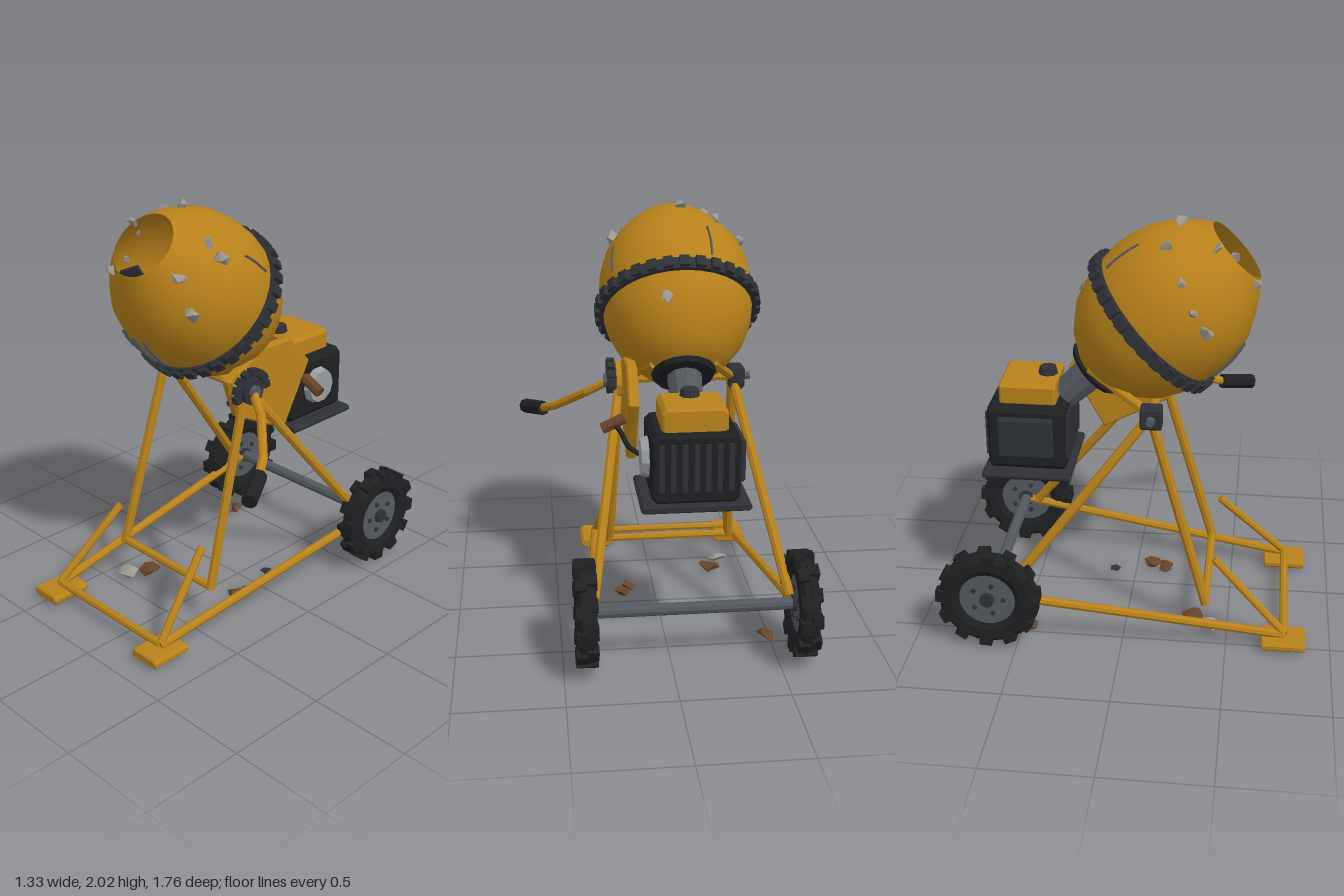
import * as THREE from 'three';
import { ConvexGeometry } from 'three/addons/geometries/ConvexGeometry.js';

const V = (x, y, z) => new THREE.Vector3(x, y, z);
const mat = (color, flatShading = true, side = THREE.FrontSide) => {
  const m = new THREE.MeshStandardMaterial({ color, flatShading, side });
  return m;
};
const CX = -0.11; // the frame mirrors about this x

export function createModel() {
  const model = new THREE.Group();
  model.name = 'cementMixer';
  const yellow = mat(0xb8821a), drumPaint = mat(0xb8821a, false, THREE.DoubleSide);
  const dark = mat(0x2e3136), black = mat(0x1f2022), steel = mat(0x54585f);
  const pale = mat(0x9a9da2), brown = mat(0x664428), concrete = mat(0x9b978f);

  let seed = 7;
  const rnd = () => (seed = (seed * 16807) % 2147483647) / 2147483647;

  const add = (name, geo, m, pos = V(0, 0, 0), parent = model) => {
    const mesh = new THREE.Mesh(geo, m);
    mesh.name = name;
    mesh.position.copy(pos);
    parent.add(mesh);
    return mesh;
  };
  // straight round bar between two points
  const bar = (name, a, b, r, m = yellow, sides = 8, parent = model, r2 = r) => {
    const d = b.clone().sub(a);
    const mesh = add(name, new THREE.CylinderGeometry(r2, r, d.length(), sides), m, a.clone().lerp(b, 0.5), parent);
    mesh.quaternion.setFromUnitVectors(V(0, 1, 0), d.normalize());
    return mesh;
  };
  // box with chamfered edges
  const chamferBox = (w, h, d, c) => {
    const x = w / 2 - c, y = h / 2 - c, k = c * 0.6;
    const s = new THREE.Shape([
      [-x, -y - k], [x, -y - k], [x + k, -y], [x + k, y], [x, y + k], [-x, y + k], [-x - k, y], [-x - k, -y],
    ].map((p) => new THREE.Vector2(...p)));
    const bevel = c - k;
    const g = new THREE.ExtrudeGeometry(s, { depth: d - 2 * bevel, bevelSize: bevel, bevelThickness: bevel, bevelSegments: 1 });
    return g.translate(0, 0, -d / 2 + bevel);
  };
  // irregular stone
  const chunk = (name, pos, sx, sy, sz, m, parent = model) => {
    const pts = [];
    for (let i = 0; i < 10; i++) {
      const a = (i * 2.4) + rnd(), y = rnd() * 2 - 1, r = Math.sqrt(1 - y * y);
      pts.push(V(Math.cos(a) * r * sx, y * sy, Math.sin(a) * r * sz));
    }
    return add(name, new ConvexGeometry(pts), m, pos, parent);
  };

  // ---- frame, mirrored to both sides ----
  for (const s of [-1, 1]) {
    const P = (dx, y, z) => V(CX + s * dx, y, z);
    bar('frameRail', P(0.38, 0.07, 0.78), P(0.475, 0.265, -0.63), 0.022);
    bar('frontLeg', P(0.28, 1.14, 0.12), P(0.32, 0.18, 0.395), 0.024);
    bar('rearLeg', P(0.285, 1.14, 0.11), P(0.46, 0.27, -0.56), 0.024);
    bar('frontBrace', P(0.38, 0.08, 0.775), P(0.3, 0.42, 0.43), 0.02);
    add('foot', chamferBox(0.17, 0.048, 0.21, 0.018), yellow, P(0.375, 0.041, 0.775));
  }
  bar('frontCrossbar', V(-0.49, 0.075, 0.775), V(0.27, 0.075, 0.775), 0.02);
  bar('legCrossbar', V(-0.43, 0.19, 0.392), V(0.21, 0.19, 0.392), 0.02);
  bar('axle', V(-0.62, 0.265, -0.63), V(0.4, 0.265, -0.63), 0.029, steel, 10);

  // ---- wheels ----
  for (const s of [-1, 1]) {
    const wheel = new THREE.Group();
    wheel.name = s > 0 ? 'leftWheel' : 'rightWheel';
    wheel.position.set(CX + s * 0.503, 0.265, -0.63);
    wheel.rotation.z = -s * Math.PI / 2; // local +y faces outwards
    model.add(wheel);
    const tyre = [[0.135, -0.03], [0.165, -0.046], [0.21, -0.045], [0.234, -0.025], [0.234, 0.025],
      [0.21, 0.045], [0.165, 0.046], [0.135, 0.03], [0.135, -0.03]].map((p) => new THREE.Vector2(...p));
    add('tyre', new THREE.LatheGeometry(tyre, 24), black, V(0, 0, 0), wheel);
    add('rim', new THREE.CylinderGeometry(0.138, 0.138, 0.05, 16), steel, V(0, 0, 0), wheel);
    add('hub', new THREE.CylinderGeometry(0.036, 0.042, 0.09, 8), dark, V(0, 0, 0), wheel);
    for (let i = 0; i < 5; i++) {
      const a = i * Math.PI * 0.4 + 0.3;
      add('wheelBolt', new THREE.CylinderGeometry(0.013, 0.013, 0.068, 6), dark, V(Math.cos(a) * 0.078, 0, Math.sin(a) * 0.078), wheel);
    }
    for (let i = 0; i < 12; i++) for (const side of [-1, 1]) {
      const a = (i + side * 0.12) * Math.PI / 6;
      const lug = add('treadLug', new THREE.BoxGeometry(0.05, 0.05, 0.06), black, V(Math.cos(a) * 0.222, side * 0.025, Math.sin(a) * 0.222), wheel);
      lug.rotation.y = -a;
    }
  }

  // ---- drum, local +y runs along its axis to the mouth ----
  const drum = new THREE.Group();
  drum.name = 'drum';
  drum.position.set(-0.113, 1.51, 0.1);
  drum.rotation.x = 0.818;
  model.add(drum);
  const profile = [[0.001, -0.37], [0.12, -0.365], [0.22, -0.3], [0.305, -0.2], [0.348, -0.1], [0.368, 0], [0.376, 0.1],
    [0.367, 0.2], [0.338, 0.3], [0.285, 0.385], [0.225, 0.46], [0.162, 0.52]].map((p) => new THREE.Vector2(...p));
  add('drumShell', new THREE.LatheGeometry(profile, 32), drumPaint, V(0, 0, 0), drum);
  const radiusAt = (t) => {
    const i = Math.max(1, profile.findIndex((p) => p.y >= t));
    const a = profile[i - 1], b = profile[i];
    return a.x + (b.x - a.x) * (t - a.y) / (b.y - a.y);
  };
  const onDrum = (t, deg, lift = 0) => {
    const a = deg * Math.PI / 180, r = radiusAt(t) + lift;
    return V(r * Math.cos(a), t, -r * Math.sin(a));
  };

  // ring gear
  const band = [[0.355, -0.03], [0.384, -0.03], [0.384, 0.03], [0.355, 0.03], [0.355, -0.03]].map((p) => new THREE.Vector2(...p));
  add('ringGear', new THREE.LatheGeometry(band, 32), dark, V(0, 0, 0), drum);
  for (let i = 0; i < 32; i++) {
    const a = i * Math.PI / 16;
    add('gearTooth', new THREE.BoxGeometry(0.035, 0.054, 0.046), dark, V(Math.cos(a) * 0.386, 0, Math.sin(a) * 0.386), drum).rotation.y = -a;
  }
  // mixing blades inside
  for (let i = 0; i < 3; i++) {
    const a = i * Math.PI * 2 / 3 + 0.5;
    const blade = add('mixingBlade', new THREE.BoxGeometry(0.1, 0.42, 0.02), dark, V(Math.cos(a) * 0.25, 0.1, Math.sin(a) * 0.25), drum);
    blade.rotation.set(0.4, -a, 0, 'YXZ');
  }
  // collar and gearbox shaft behind the drum
  add('collar', new THREE.CylinderGeometry(0.155, 0.14, 0.022, 16), black, V(0, -0.375, 0), drum);
  add('gearboxShaft', new THREE.CylinderGeometry(0.085, 0.075, 0.2, 10), steel, V(0, -0.47, 0), drum);

  // dried concrete: lumps, drips and streaks
  for (const [t, a] of [[0.31, 160], [0.34, 127], [0.42, 95], [0.35, 20], [0.32, -32], [0.45, -17], [0.5, -126],
    [0.26, 182], [0.25, -160], [0.5, 150], [0.41, 30], [-0.15, 75]]) {
    const k = 0.026 + rnd() * 0.014;
    chunk('concreteLump', onDrum(t, a, 0.008), k, k * 1.2, k, concrete, drum).rotation.y = rnd() * 6;
  }
  for (const [a, t0, t1] of [[-108, 0.06, 0.27], [-95, 0.06, 0.26], [-84, 0.07, 0.26], [112, 0.06, 0.24], [32, 0.08, 0.24]]) {
    const pts = [0, 0.33, 0.67, 1].map((k) => onDrum(t0 + (t1 - t0) * k, a, 0.003));
    add('concreteDrip', new THREE.TubeGeometry(new THREE.CatmullRomCurve3(pts), 6, a < 0 ? 0.011 : 0.006, 5), steel, V(0, 0, 0), drum);
  }

  // ---- tilting yoke and pivots ----
  bar('tiltShaft', V(-0.42, 1.155, 0.125), V(0.24, 1.155, 0.125), 0.022);
  for (const s of [-1, 1]) bar('yokeArm', V(CX + s * 0.27, 1.165, 0.1), V(CX + s * 0.14, 1.31, -0.18), 0.022);
  add('pivotBlock', chamferBox(0.08, 0.11, 0.1, 0.015), dark, V(-0.41, 1.155, 0.125));
  bar('pivotStub', V(-0.48, 1.155, 0.125), V(-0.4, 1.155, 0.125), 0.02, steel);
  const plate = new THREE.Shape([[0.215, 1.2], [0.15, 1.01], [-0.16, 0.85], [-0.33, 1.155], [-0.2, 1.3], [-0.01, 1.305]]
    .map(([z, y]) => new THREE.Vector2(-z, y)));
  const sidePlate = add('sidePlate', new THREE.ExtrudeGeometry(plate, { depth: 0.035, bevelSize: 0.008, bevelThickness: 0.008, bevelSegments: 1 }), yellow, V(0.12, 0, 0));
  sidePlate.rotation.y = Math.PI / 2;

  // tilt lock: hub with a toothed sector
  bar('tiltHub', V(0.16, 1.15, 0.125), V(0.235, 1.15, 0.125), 0.065, dark, 10);
  bar('tiltHubCap', V(0.23, 1.15, 0.125), V(0.25, 1.15, 0.125), 0.035, steel, 8);
  bar('hubRim', V(0.165, 1.15, 0.125), V(0.19, 1.15, 0.125), 0.1, yellow, 12);
  for (let i = 0; i < 8; i++) {
    const a = -0.2 + i * 0.46;
    add('sectorTooth', new THREE.BoxGeometry(0.036, 0.034, 0.032), dark, V(0.215, 1.15 + Math.sin(a) * 0.095, 0.125 + Math.cos(a) * 0.095)).rotation.x = -a;
  }
  const sector = add('sectorArc', new THREE.TorusGeometry(0.082, 0.016, 6, 14, Math.PI * 1.05), dark, V(0.215, 1.15, 0.125));
  sector.rotation.y = Math.PI / 2;

  // tilting crank
  const crankPath = [V(0.2, 1.16, 0.11), V(0.33, 1.08, 0.175), V(0.49, 0.965, 0.325), V(0.56, 0.922, 0.43)];
  for (let i = 0; i < 3; i++) {
    bar('crankArm', crankPath[i], crankPath[i + 1], 0.022);
    if (i) add('crankJoint', new THREE.SphereGeometry(0.022, 8, 6), yellow, crankPath[i]);
  }
  bar('crankGrip', V(0.545, 0.928, 0.405), V(0.638, 0.895, 0.565), 0.037, black, 8);

  // ---- engine ----
  const engine = new THREE.Group();
  engine.name = 'engine';
  engine.position.set(CX, 0, -0.48);
  model.add(engine);
  add('enginePlate', chamferBox(0.5, 0.034, 0.425, 0.014), dark, V(0, 0.778, 0), engine);
  add('engineBody', chamferBox(0.4, 0.32, 0.37, 0.03), black, V(0, 0.955, 0), engine);
  add('fuelTank', chamferBox(0.3, 0.12, 0.27, 0.025), yellow, V(0, 1.16, 0), engine);
  bar('fuelCap', V(0, 1.21, 0.08), V(0, 1.255, 0.08), 0.05, dark, 8, engine, 0.04);
  for (const z of [-0.187, 0.187]) for (let i = 0; i < 7; i++) {
    add('coolingFin', new THREE.BoxGeometry(0.024, 0.22, 0.025), dark, V(-0.156 + i * 0.052, 0.965, z), engine);
  }
  bar('recoilStarter', V(0.19, 0.96, 0), V(0.235, 0.96, 0), 0.1, pale, 10, engine, 0.085);
  add('exhaustCover', chamferBox(0.04, 0.2, 0.26, 0.012), dark, V(-0.21, 0.97, 0), engine);

  // starter cord with its handle
  const cord = new THREE.CatmullRomCurve3([V(0.12, 0.95, -0.42), V(0.17, 0.98, -0.39), V(0.2, 1.03, -0.33), V(0.23, 1.06, -0.285)]);
  add('starterCord', new THREE.TubeGeometry(cord, 8, 0.012, 6), black);
  bar('starterHandle', V(0.18, 1.085, -0.285), V(0.285, 1.035, -0.285), 0.028, brown, 8);

  // ---- rubble on the ground ----
  for (const [x, z, w, d, m] of [[-0.38, 0.42, 0.06, 0.055, concrete], [-0.32, 0.33, 0.06, 0.06, brown], [0.13, 0.15, 0.05, 0.05, brown],
    [0.17, 0.08, 0.045, 0.05, brown], [0.1, -0.11, 0.03, 0.03, dark], [-0.475, -0.47, 0.05, 0.055, brown]]) {
    chunk('rubble', V(x, w * 0.5, z), w, w * 0.5, d, m);
  }
  return model;
}
